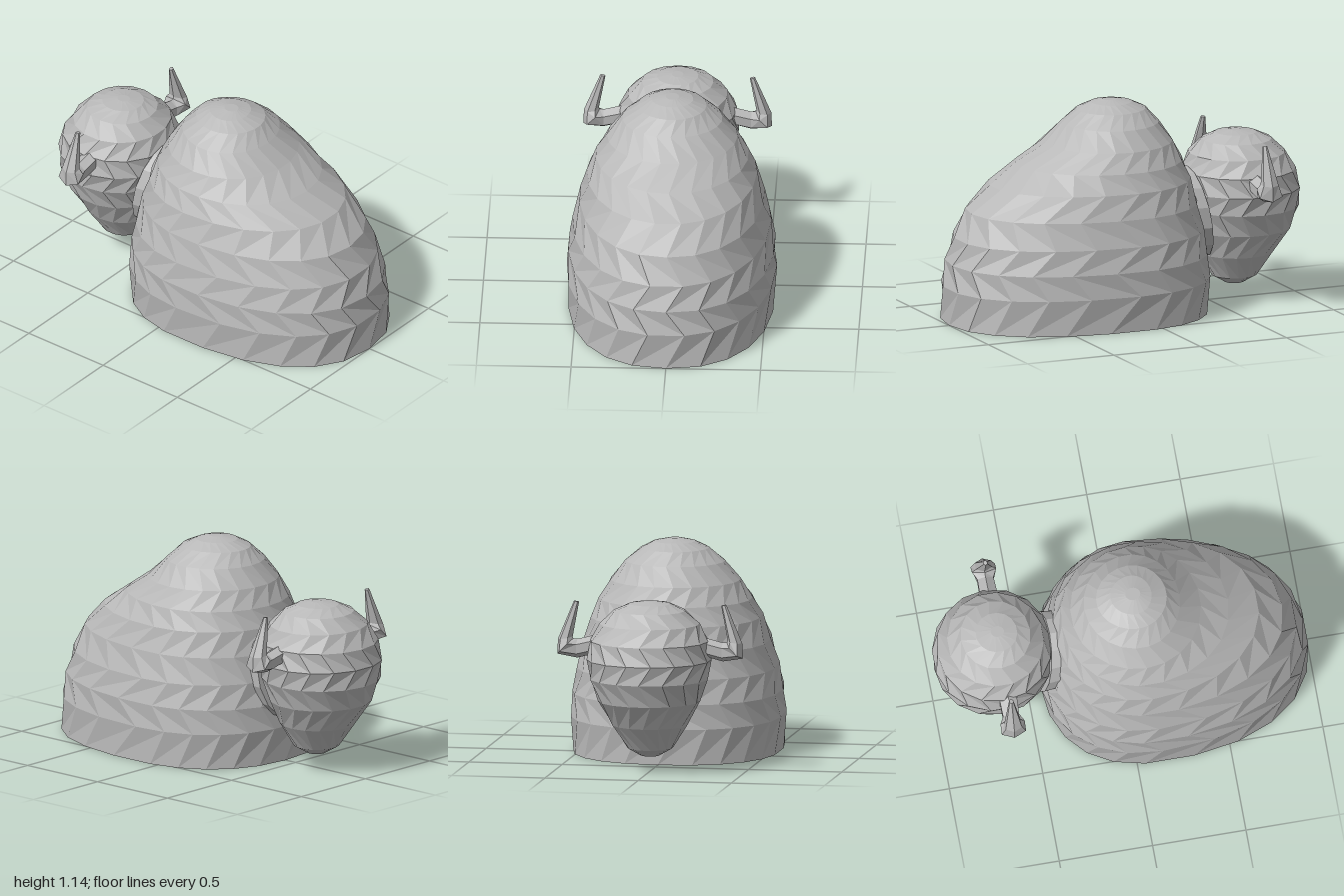
import * as THREE from 'three';

const grey = new THREE.MeshStandardMaterial({ color: 0xb8b8b8, flatShading: true });
grey.name = 'stone grey';

// Faceted skin over rings of equal point count, capped at both ends and facing outward
function loft(rings) {
  const n = rings[0].length, tris = [];
  const centre = ring => ring.reduce((s, p) => s.add(p), new THREE.Vector3()).divideScalar(n);
  const first = centre(rings[0]), last = centre(rings[rings.length - 1]);
  for (let i = 0; i < n; i++) {
    const j = (i + 1) % n;
    tris.push([first, rings[0][j], rings[0][i]]);
    tris.push([last, rings[rings.length - 1][i], rings[rings.length - 1][j]]);
    for (let k = 0; k < rings.length - 1; k++) {
      const a = rings[k], b = rings[k + 1];
      if (k % 2) tris.push([a[i], a[j], b[i]], [a[j], b[j], b[i]]);
      else tris.push([a[i], a[j], b[j]], [a[i], b[j], b[i]]);
    }
  }
  let volume = 0;
  for (const [a, b, c] of tris) volume += a.dot(b.clone().cross(c));
  const points = tris.flatMap(([a, b, c]) => (volume < 0 ? [a, c, b] : [a, b, c]));
  const geometry = new THREE.BufferGeometry().setFromPoints(points);
  geometry.computeVertexNormals();
  return geometry;
}

// Horizontal oval at height y from z0 to z1, widest at zc, half width w, squareness e
function oval(n, y, z0, z1, zc, w, e, turn) {
  return Array.from({ length: n }, (_, i) => {
    const t = ((i + turn) / n) * Math.PI * 2, c = Math.cos(t), s = Math.sin(t);
    const power = v => Math.sign(v) * Math.abs(v) ** (2 / e);
    return new THREE.Vector3(w * power(s), y, zc + (c > 0 ? z1 - zc : zc - z0) * power(c));
  });
}

function add(group, name, geometry) {
  const mesh = new THREE.Mesh(geometry, grey);
  mesh.name = name;
  group.add(mesh);
}

export function createModel() {
  const model = new THREE.Group();
  model.name = 'horned animal';

  // Humped body: y, rear z, front z, half width
  const body = [
    [0, -0.43, 1.0, 0.545], [0.19, -0.445, 1.0, 0.555], [0.32, -0.435, 0.98, 0.548],
    [0.45, -0.415, 0.94, 0.525], [0.59, -0.385, 0.87, 0.49], [0.72, -0.35, 0.74, 0.45],
    [0.82, -0.31, 0.58, 0.405], [0.92, -0.26, 0.43, 0.345], [1.02, -0.19, 0.32, 0.265],
    [1.09, -0.125, 0.25, 0.18], [1.125, -0.05, 0.17, 0.11], [1.14, 0.03, 0.11, 0.035],
  ];
  add(model, 'body', loft(body.map(([y, z0, z1, w], k) =>
    oval(22, y, z0, z1, 0.15 - 0.07 * y, w, 2.3 - 0.3 * y, (k % 2) / 2))));

  // Round head narrowing to a muzzle
  const head = [
    [0.085, -0.70, -0.60, 0.05], [0.125, -0.77, -0.53, 0.12], [0.25, -0.86, -0.46, 0.2],
    [0.38, -0.95, -0.41, 0.27], [0.5, -0.995, -0.375, 0.315], [0.6, -1.0, -0.36, 0.33],
    [0.7, -0.975, -0.37, 0.315], [0.79, -0.92, -0.41, 0.265], [0.86, -0.85, -0.48, 0.19],
    [0.895, -0.77, -0.55, 0.11], [0.907, -0.69, -0.62, 0.03],
  ];
  add(model, 'head', loft(head.map(([y, z0, z1, w], k) =>
    oval(16, y, z0, z1, (z0 + z1) / 2, w, 2.05, (k % 2) / 2))));

  // Short slanting neck
  const neckRing = (z, w, h) => Array.from({ length: 14 }, (_, i) => {
    const t = (i / 14) * Math.PI * 2, y = 0.49 + h * Math.cos(t);
    return new THREE.Vector3(w * Math.sin(t), y, z + 0.2 * (y - 0.49));
  });
  add(model, 'neck', loft([neckRing(-0.34, 0.2, 0.25), neckRing(-0.425, 0.21, 0.25)]));

  // Horns: x, y, tilt of the section, radius across, radius along z
  const horn = [
    [0.27, 0.675, 0, 0.05, 0.055], [0.39, 0.645, 0, 0.05, 0.05],
    [0.455, 0.655, 0.8, 0.06, 0.075], [0.455, 0.7, 1.4, 0.04, 0.05],
    [0.395, 0.895, 1.75, 0.014, 0.012],
  ];
  for (const side of [1, -1]) {
    add(model, side > 0 ? 'leftHorn' : 'rightHorn', loft(horn.map(([x, y, tilt, r, rz]) =>
      Array.from({ length: 6 }, (_, i) => {
        const t = (i / 6) * Math.PI * 2, u = r * Math.cos(t);
        return new THREE.Vector3(side * (x - u * Math.sin(tilt)), y + u * Math.cos(tilt),
          -0.65 + rz * Math.sin(t));
      }))));
  }
  return model;
}
